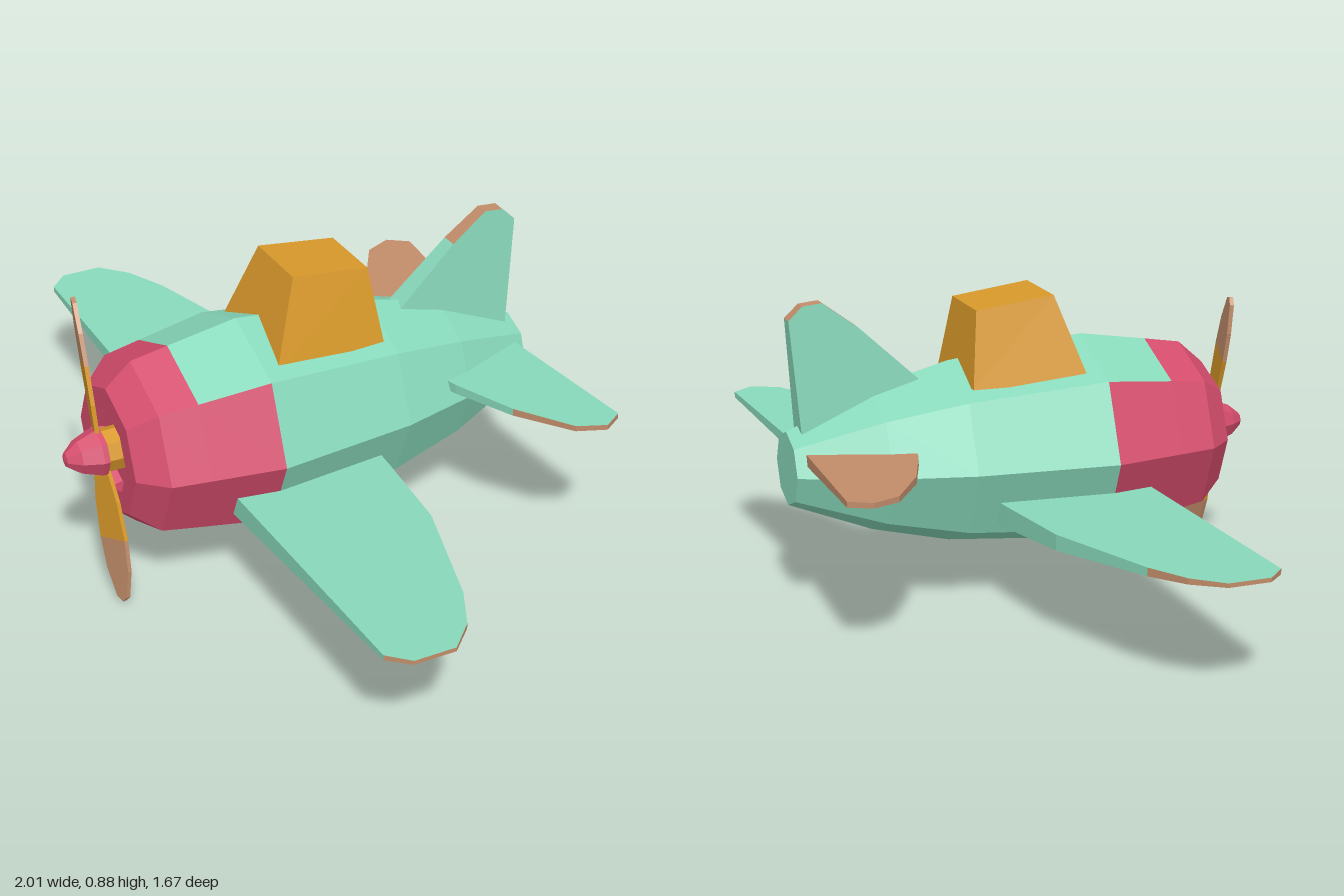
import * as THREE from 'three';

const paint = (name, color) => {
  const m = new THREE.MeshStandardMaterial({ color });
  m.name = name;
  return m;
};
const GREEN = paint('mint green', 0x88d9bb);
const RED = paint('cowling red', 0xd44c6c);
const ORANGE = paint('amber', 0xd8982a);
const BROWN = paint('tan brown', 0xc28d6a);

// Flat-faced mesh from [material, corner, corner, corner...] convex faces
function facets(name, faces, flip = false) {
  const mats = [...new Set(faces.map((f) => f[0]))];
  const pos = [];
  const geo = new THREE.BufferGeometry();
  mats.forEach((mat, m) => {
    const start = pos.length / 3;
    for (const [fm, ...c] of faces) {
      if (fm !== mat) continue;
      for (let i = 1; i < c.length - 1; i++) {
        const tri = flip ? [c[0], c[i + 1], c[i]] : [c[0], c[i], c[i + 1]];
        tri.forEach((p) => pos.push(...p));
      }
    }
    geo.addGroup(start, pos.length / 3 - start, m);
  });
  geo.setAttribute('position', new THREE.Float32BufferAttribute(pos, 3));
  geo.computeVertexNormals();
  const mesh = new THREE.Mesh(geo, mats);
  mesh.name = name;
  return mesh;
}

// Eight-sided body through [z, radius] sections, front to back
function loft(name, sections, matOf) {
  const at = ([z, r], k) => {
    const t = (k * Math.PI) / 4;
    return [r * Math.cos(t), r * Math.sin(t), z];
  };
  const faces = [];
  for (let i = 0; i < sections.length - 1; i++) {
    const a = sections[i], b = sections[i + 1];
    for (let k = 0; k < 8; k++) {
      if (a[1] > 0) faces.push([matOf(i, k), at(a, k), at(b, k), at(a, k + 1)]);
      if (b[1] > 0) faces.push([matOf(i, k), at(b, k), at(b, k + 1), at(a, k + 1)]);
    }
  }
  return facets(name, faces);
}

// Tapered plate: outline [a, b], place(a, b, side) gives the two skins
function plate(name, outline, place, mats, flip = false) {
  let pts = outline.map(([a, b]) => new THREE.Vector2(a, b));
  if (THREE.ShapeUtils.isClockWise(pts)) pts = pts.reverse();
  const P = (i, s) => place(pts[i].x, pts[i].y, s);
  const faces = [];
  for (const [i, j, k] of THREE.ShapeUtils.triangulateShape(pts, [])) {
    faces.push([mats.plus, P(i, 1), P(j, 1), P(k, 1)]);
    faces.push([mats.minus, P(k, -1), P(j, -1), P(i, -1)]);
  }
  pts.forEach((p, i) => {
    const j = (i + 1) % pts.length;
    faces.push([mats.edge(p, pts[j]), P(i, -1), P(j, -1), P(j, 1), P(i, 1)]);
  });
  return facets(name, faces, flip);
}

export function createModel() {
  const model = new THREE.Group();
  model.name = 'propellerPlane';
  const plane = new THREE.Group();
  plane.name = 'airframe';
  plane.rotation.y = -0.506;
  plane.position.set(0.0875, 0.41, 0.0485);
  model.add(plane);
  const lerp = THREE.MathUtils.lerp;

  // Fuselage with red cowling; the green runs further forward on top
  const sections = [
    [0.53, 0], [0.53, 0.115], [0.57, 0.125], [0.57, 0.19], [0.495, 0.257], [0.385, 0.276],
    [0.18, 0.31], [-0.227, 0.267], [-0.455, 0.208], [-0.7, 0.107], [-0.7, 0],
  ];
  plane.add(loft('fuselage', sections, (i, k) =>
    i < 5 || (i === 5 && k !== 1 && k !== 2) ? RED : GREEN));

  // Hub and spinner
  plane.add(loft('propellerHub', [[0.605, 0], [0.605, 0.062], [0.51, 0.062], [0.51, 0]], () => ORANGE));
  plane.add(loft('spinner', [[0.7, 0], [0.695, 0.02], [0.66, 0.048], [0.605, 0.068], [0.59, 0.068], [0.59, 0]], () => RED));

  // Two pitched blades, amber at the root and tan towards the tip
  const inner = [[-0.025, 0.03], [0.025, 0.03], [0.05, 0.14], [0.057, 0.25], [-0.057, 0.25], [-0.05, 0.14]];
  const outer = [[-0.057, 0.25], [0.057, 0.25], [0.05, 0.34], [0.025, 0.42], [0, 0.433], [-0.02, 0.42], [-0.048, 0.34]];
  for (const turn of [0, Math.PI]) {
    const blade = new THREE.Group();
    blade.name = turn ? 'lowerBlade' : 'upperBlade';
    [[inner, ORANGE, 'bladeRoot'], [outer, BROWN, 'bladeTip']].forEach(([line, mat, name]) => {
      const part = plate(name, line, (a, b, s) => [a, b, s * 0.006], { plus: mat, minus: mat, edge: () => mat });
      part.rotation.y = -0.25;
      blade.add(part);
    });
    blade.position.z = 0.595;
    blade.rotation.z = 0.33 + turn;
    plane.add(blade);
  }

  // Wings and tailplanes, mirrored
  const wing = [[0, 0.3], [1.06, 0.3], [1.115, 0.245], [1.115, 0.125], [1.04, 0.05],
    [0.92, -0.01], [0.57, -0.12], [0.28, -0.15], [0, -0.17]];
  const tail = [[0, -0.34], [0.23, -0.39], [0.42, -0.46], [0.58, -0.56], [0.615, -0.64],
    [0.575, -0.7], [0.1, -0.67], [0, -0.66]];
  for (const side of [1, -1]) {
    const label = side > 0 ? 'left' : 'right';
    const wingEdge = (p, q) => (Math.min(p.x, q.x) > 0.9 ? BROWN : GREEN);
    plane.add(plate(label + 'Wing', wing, (a, b, s) => {
      const t = a / 1.115;
      return [side * a, s > 0 ? lerp(-0.18, -0.085, t) : lerp(-0.1, -0.073, t), b];
    }, { plus: GREEN, minus: GREEN, edge: wingEdge }, side < 0));

    const tailEdge = (p, q) => (side < 0 || Math.min(p.x, q.x) > 0.4 ? BROWN : GREEN);
    plane.add(plate(label + 'Tailplane', tail, (a, b, s) => {
      const t = a / 0.615;
      return [side * a, s > 0 ? lerp(0.025, 0.062, t) : lerp(0.06, 0.077, t), b];
    }, { plus: GREEN, minus: side < 0 ? BROWN : GREEN, edge: tailEdge }, side < 0));
  }

  // Fin, thinner towards its tan tip
  const fin = [[-0.31, 0.22], [-0.49, 0.39], [-0.593, 0.468], [-0.65, 0.463], [-0.69, 0.425],
    [-0.665, 0.09], [-0.5, 0.1]];
  plane.add(plate('fin', fin, (a, b, s) => [-s * lerp(0.045, 0.02, b / 0.47), b, a],
    { plus: GREEN, minus: GREEN, edge: (p, q) => (Math.min(p.y, q.y) > 0.38 ? BROWN : GREEN) }));

  // Canopy: tapered block with a sloping roof
  const low = [[0.174, 0.14], [0.152, -0.2], [-0.152, -0.2], [-0.174, 0.14]].map(([x, z]) => [x, 0.215, z]);
  const high = [[0.104, 0.058, 0.455], [0.1, -0.172, 0.428], [-0.1, -0.172, 0.428], [-0.104, 0.058, 0.455]]
    .map(([x, z, y]) => [x, y, z]);
  const canopy = [[ORANGE, ...high], [ORANGE, ...[...low].reverse()]];
  for (let i = 0; i < 4; i++) {
    const j = (i + 1) % 4;
    canopy.push([ORANGE, low[i], low[j], high[j], high[i]]);
  }
  plane.add(facets('canopy', canopy));
  return model;
}
